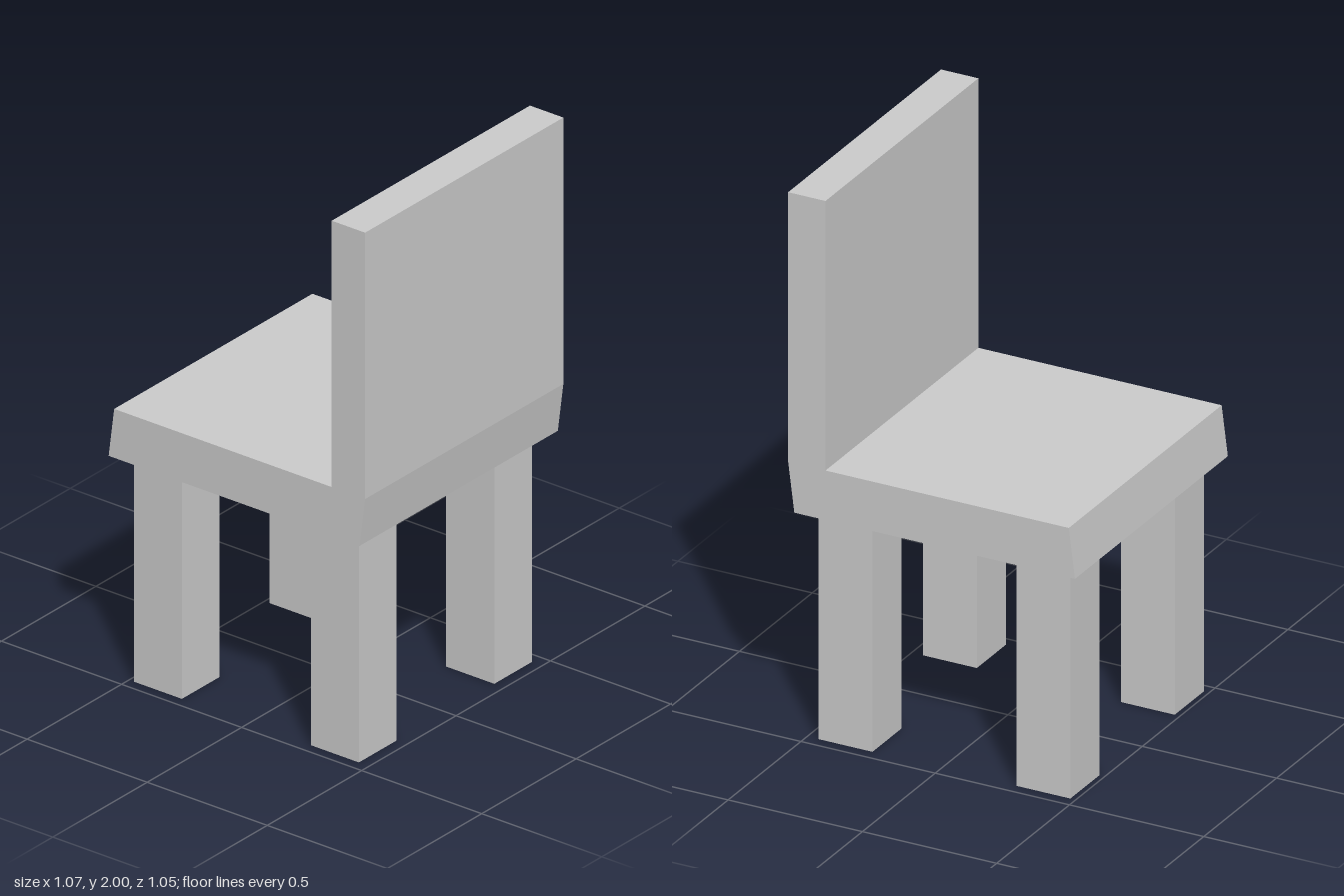
import * as THREE from 'three';

export function createModel() {
  const chair = new THREE.Group();
  chair.name = 'chair';
  const material = new THREE.MeshStandardMaterial({ color: 0xcccccc, flatShading: true });

  const seatBottom = 0.84;
  const depth = 1.05;

  // Seat and backrest: one L-shaped profile with slightly slanted seat ends
  const profile = new THREE.Shape([
    [-0.534, seatBottom], [0.511, seatBottom], [0.534, 1.02],
    [0.534, 2], [0.395, 2], [0.395, 1.02], [-0.511, 1.02],
  ].map(([x, y]) => new THREE.Vector2(x, y)));
  const seatGeometry = new THREE.ExtrudeGeometry(profile, { depth, bevelEnabled: false });
  seatGeometry.translate(0, 0, -depth / 2);
  const seat = new THREE.Mesh(seatGeometry, material);
  seat.name = 'seatAndBackrest';
  chair.add(seat);

  // Four square legs under the seat
  const legGeometry = new THREE.BoxGeometry(0.2, seatBottom, 0.2);
  for (const [xName, x] of [['Right', -0.38], ['Left', 0.357]]) {
    for (const [zName, z] of [['front', 0.36], ['back', -0.357]]) {
      const leg = new THREE.Mesh(legGeometry, material);
      leg.name = `${zName}${xName}Leg`;
      leg.position.set(x, seatBottom / 2, z);
      chair.add(leg);
    }
  }

  return chair;
}
